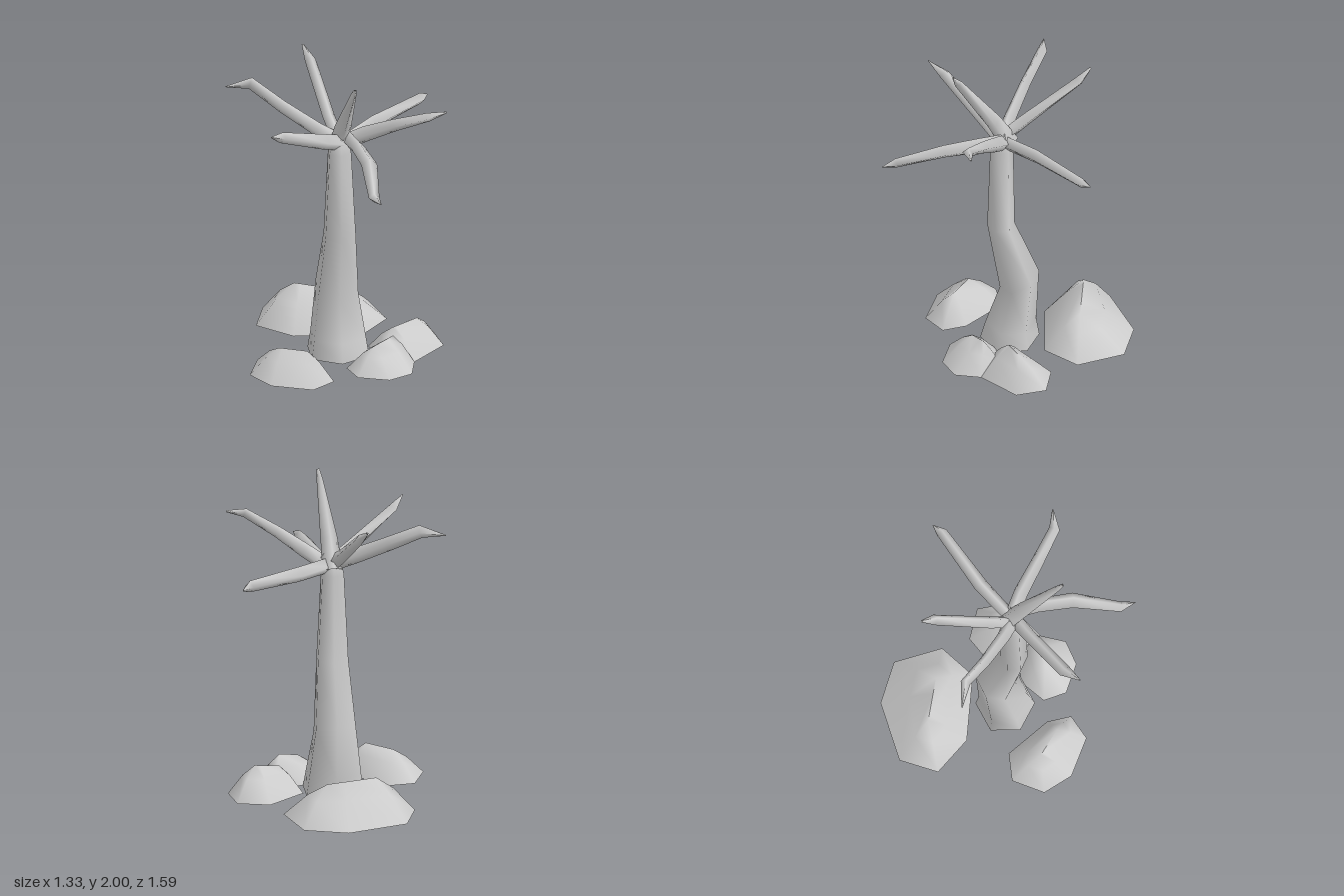
import * as THREE from 'three';
import { mergeVertices } from 'three/addons/utils/BufferGeometryUtils.js';

// Skin a list of equal-length rings of Vector3 points, smooth shaded.
function loft(rings) {
  const n = rings[0].length;
  const position = [], index = [];
  rings.forEach(ring => ring.forEach(p => position.push(p.x, p.y, p.z)));
  for (let r = 0; r < rings.length - 1; r++) {
    for (let i = 0; i < n; i++) {
      const a = r * n + i, b = r * n + (i + 1) % n;
      index.push(a, b, a + n, b, b + n, a + n);
    }
  }
  const geometry = new THREE.BufferGeometry();
  geometry.setAttribute('position', new THREE.Float32BufferAttribute(position, 3));
  geometry.setIndex(index);
  const merged = mergeVertices(geometry, 1e-4);
  merged.computeVertexNormals();
  return merged;
}

// Six-sided trunk rings: [y, centre z, x radius, z radius, lift toward the back]
function trunkGeometry() {
  const levels = [
    [0, -0.02, 0.18, 0.185, 0],
    [0.12, -0.027, 0.163, 0.158, 0],
    [0.425, -0.08, 0.125, 0.122, 0.055],
    [0.85, 0.035, 0.095, 0.086, 0.0],
    [1.42, 0.03, 0.068, 0.072, 0],
    [1.52, 0.03, 0.05, 0.05, 0],
    [1.55, 0.03, 0, 0, 0],
  ];
  return loft(levels.map(([y, cz, rx, rz, lift]) =>
    Array.from({ length: 6 }, (_, i) => {
      const a = i * Math.PI / 3;
      return new THREE.Vector3(
        0.005 + Math.sin(a) * rx / 0.866, y - Math.cos(a) * lift, cz + Math.cos(a) * rz);
    })));
}

// Four-sided tapering branch: path stations [x, y, z, half width, half height]
function branchGeometry(path) {
  const points = path.map(([x, y, z]) => new THREE.Vector3(x, y, z));
  const worldUp = new THREE.Vector3(0, 1, 0);
  return loft(path.map(([, , , w, h], i) => {
    const dir = points[Math.min(i + 1, path.length - 1)].clone()
      .sub(points[Math.max(i - 1, 0)]).normalize();
    const side = new THREE.Vector3().crossVectors(dir, worldUp).normalize();
    const up = new THREE.Vector3().crossVectors(side, dir);
    return [[1, 0], [0, 1], [-1, 0], [0, -1]].map(([s, u]) =>
      points[i].clone().addScaledVector(side, s * w).addScaledVector(up, u * h));
  }));
}

// Rock rising from a ground outline [x, z] to a short ridge between two peaks
function rockGeometry(outline, peakA, peakB) {
  const a = new THREE.Vector3(...peakA), b = new THREE.Vector3(...peakB);
  const ridge = new THREE.Line3(a, b);
  const base = outline.map(([x, z]) => new THREE.Vector3(x, 0, z));
  const tops = base.map(p => ridge.closestPointToPoint(p, true, new THREE.Vector3()));
  const middle = base.map((p, i) => {
    const m = p.clone().lerp(tops[i], 0.55);
    m.y = tops[i].y * 0.66;
    return m;
  });
  return loft([base, middle, tops]);
}

export function createModel() {
  const group = new THREE.Group();
  const grey = new THREE.MeshStandardMaterial({ color: 0xcccccc, side: THREE.DoubleSide });
  grey.name = 'plain grey';
  const add = (name, geometry) => {
    const mesh = new THREE.Mesh(geometry, grey);
    mesh.name = name;
    group.add(mesh);
  };

  add('trunk', trunkGeometry());

  // Branches radiating from the crown
  const branches = {
    branchLeftBack: [[0.03, 1.48, 0.02, 0.04, 0.05], [0.24, 1.5, -0.17, 0.045, 0.05],
      [0.58, 1.525, -0.41, 0.035, 0.038], [0.63, 1.52, -0.465, 0.004, 0.005]],
    branchBack: [[0.0, 1.49, 0.03, 0.04, 0.05], [-0.04, 1.59, -0.12, 0.04, 0.045],
      [-0.105, 1.82, -0.46, 0.036, 0.033], [-0.14, 1.89, -0.54, 0.008, 0.008]],
    branchRightBack: [[0.03, 1.48, 0.03, 0.05, 0.05], [-0.12, 1.55, -0.03, 0.04, 0.05],
      [-0.33, 1.67, -0.15, 0.035, 0.045], [-0.51, 1.785, -0.27, 0.032, 0.042],
      [-0.665, 1.76, -0.293, 0.003, 0.003]],
    branchRightFront: [[0.03, 1.48, 0.03, 0.045, 0.05], [-0.1, 1.54, 0.12, 0.042, 0.05],
      [-0.41, 1.71, 0.35, 0.04, 0.035], [-0.49, 1.765, 0.445, 0.003, 0.003]],
    branchTallFront: [[0.01, 1.46, -0.02, 0.065, 0.06], [0.02, 1.63, 0.08, 0.055, 0.05],
      [0.05, 1.95, 0.305, 0.02, 0.025], [0.055, 2.0, 0.34, 0.01, 0.004]],
    branchLongFront: [[0.06, 1.5, 0.02, 0.045, 0.06], [0.1, 1.51, 0.18, 0.045, 0.055],
      [0.135, 1.505, 0.4, 0.05, 0.046], [0.12, 1.425, 0.7, 0.034, 0.034],
      [0.15, 1.42, 0.79, 0.003, 0.003]],
    branchLeftFront: [[0.04, 1.48, 0.02, 0.045, 0.05], [0.17, 1.56, 0.08, 0.045, 0.05],
      [0.33, 1.655, 0.18, 0.04, 0.04], [0.52, 1.75, 0.29, 0.034, 0.03],
      [0.64, 1.77, 0.28, 0.004, 0.006]],
  };
  for (const [name, path] of Object.entries(branches)) add(name, branchGeometry(path));

  // Rocks around the foot, outlines listed counter-clockwise from above
  add('backRock', rockGeometry(
    [[-0.45, -0.44], [-0.24, -0.26], [0.19, -0.22], [0.37, -0.41], [0.28, -0.71],
      [0.01, -0.795], [-0.37, -0.68]],
    [-0.2, 0.25, -0.5], [0.1, 0.2, -0.45]));
  add('leftRock', rockGeometry(
    [[0.2, -0.06], [0.24, 0.13], [0.45, 0.2], [0.665, 0], [0.63, -0.19], [0.43, -0.24]],
    [0.5, 0.19, -0.03], [0.34, 0.16, 0.02]));
  add('frontLeftRock', rockGeometry(
    [[0.02, 0.22], [0.07, 0.36], [0.26, 0.425], [0.41, 0.36], [0.45, 0.2], [0.36, 0.06],
      [0.14, 0.08]],
    [0.2, 0.15, 0.23], [0.32, 0.18, 0.17]));
  add('rightRock', rockGeometry(
    [[-0.59, 0.22], [-0.48, 0.39], [-0.23, 0.485], [-0.085, 0.39], [-0.12, 0.24],
      [-0.33, 0], [-0.51, 0.02]],
    [-0.4, 0.165, 0.2], [-0.24, 0.18, 0.3]));

  return group;
}
